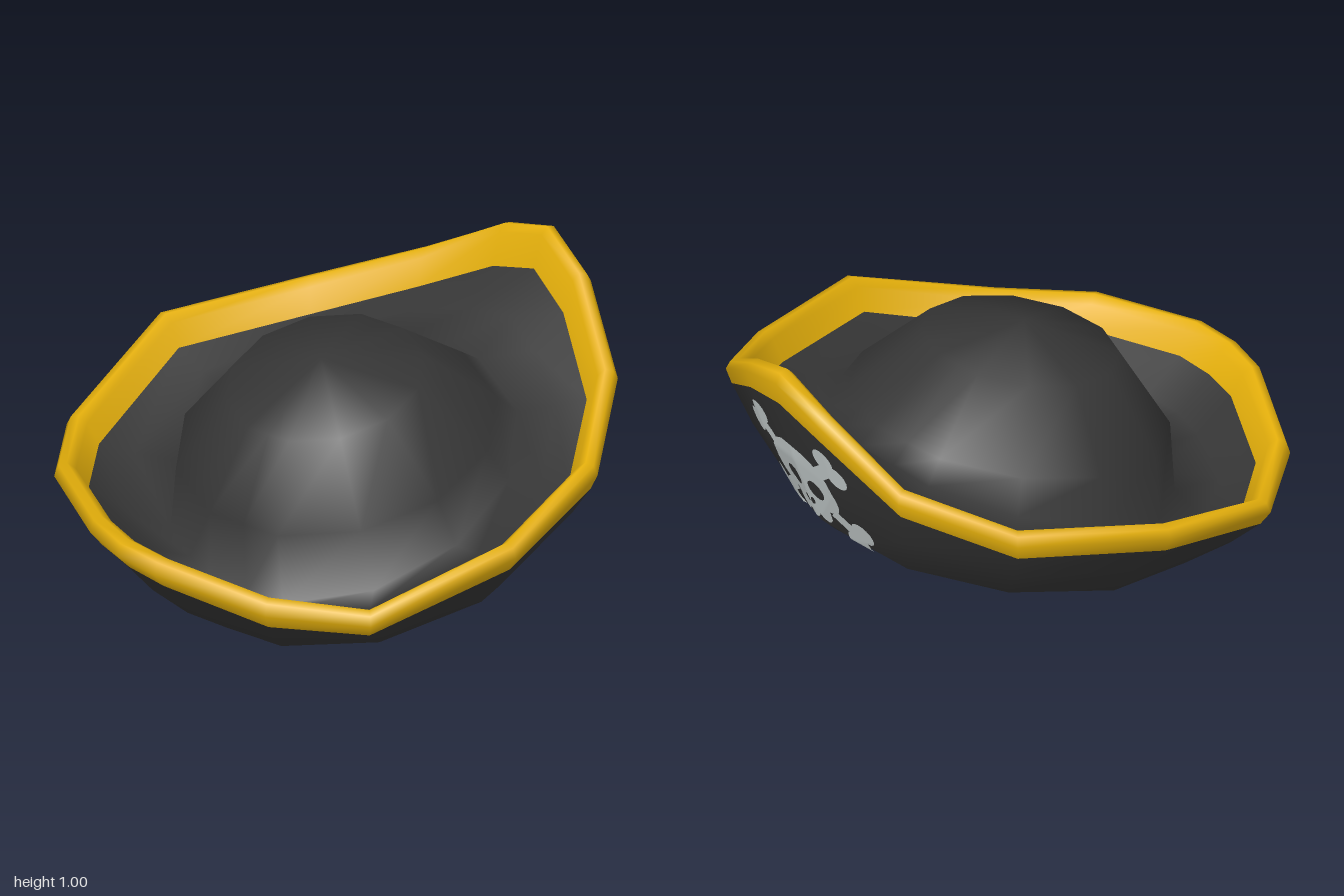
import * as THREE from 'three';
import { mergeVertices, mergeGeometries } from 'three/addons/utils/BufferGeometryUtils.js';

const felt = new THREE.MeshStandardMaterial({ color: 0x363636, side: THREE.DoubleSide });
felt.name = 'blackFelt';
const gold = new THREE.MeshStandardMaterial({ color: 0xe4af0b, side: THREE.DoubleSide });
gold.name = 'goldTrim';
const silver = new THREE.MeshStandardMaterial({ color: 0xd0d8d8, side: THREE.DoubleSide });
silver.name = 'silverPaint';

// Rim stations of one half, front to back: x, z, low y, outermost y, top y, inner y
const RIM = [
  [0, 0.968, 0.32, 0.385, 0.44, 0.335], [0.18, 0.945, 0.32, 0.385, 0.44, 0.335],
  [0.59, 0.78, 0.285, 0.35, 0.405, 0.305], [0.85, 0.52, 0.28, 0.335, 0.38, 0.28],
  [1, 0, 0.43, 0.49, 0.535, 0.43], [0.81, -0.51, 0.48, 0.54, 0.585, 0.475],
  [0.53, -0.82, 0.62, 0.68, 0.72, 0.6], [0.22, -0.945, 0.81, 0.88, 0.92, 0.775],
  [0, -0.97, 0.87, 0.95, 1, 0.85],
];
// Matching angles on the twelve-sided crown; 15 and 165 lie on its straight edges
const ANGLE = [0, 15, 30, 60, 90, 120, 150, 165, 180];
const COLUMNS = 16;

// A full ring of points from a rule for one half, mirrored in x
function ring(rule) {
  return Array.from({ length: COLUMNS }, (_, j) => {
    const p = rule(j <= 8 ? j : 16 - j);
    if (j > 8) p.x *= -1;
    return p;
  });
}

// Ring about the tilted crown axis: radius r, height h, rising by lift towards the back
function crownRing(r, h, lift = 0) {
  const s = 0.2, c = 0.98;
  return ring((k) => {
    const a = THREE.MathUtils.degToRad(ANGLE[k]);
    const rr = k === 1 || k === 7 ? r * Math.cos(Math.PI / 12) : r;
    const f = rr * Math.cos(a);
    const up = h - lift * Math.cos(a);
    return new THREE.Vector3(rr * Math.sin(a), 0.135 - f * s + up * c, -0.075 + f * c + up * s);
  });
}

// Ring along the rim: plan scale at the front and back, height column, height offset
const rimRing = (front, back, col, dy = 0) => ring((k) => {
  const scale = THREE.MathUtils.lerp(front, back, k / 8);
  return new THREE.Vector3(RIM[k][0] * scale, RIM[k][col] + dy, RIM[k][1] * scale);
});

// Ring part of the way from a to b, horizontally by t and vertically by u
const between = (a, b, t, u) => a.map((p, j) => new THREE.Vector3(
  THREE.MathUtils.lerp(p.x, b[j].x, t),
  THREE.MathUtils.lerp(p.y, b[j].y, u),
  THREE.MathUtils.lerp(p.z, b[j].z, t)));

// Smooth skin over a list of rings
function loft(name, rings, material) {
  const geo = new THREE.BufferGeometry().setFromPoints(rings.flat());
  const index = [];
  for (let i = 0; i < rings.length - 1; i++) {
    for (let j = 0; j < COLUMNS; j++) {
      const n = (j + 1) % COLUMNS;
      const a = i * COLUMNS + j, b = i * COLUMNS + n;
      index.push(a, b, b + COLUMNS, a, b + COLUMNS, a + COLUMNS);
    }
  }
  geo.setIndex(index);
  const merged = mergeVertices(geo, 1e-5);
  merged.computeVertexNormals();
  const mesh = new THREE.Mesh(merged, material);
  mesh.name = name;
  return mesh;
}

// Flat skull and crossed bones, centred on the origin
function emblemShapes() {
  const skull = new THREE.Shape();
  skull.moveTo(-0.09, -0.145);
  // scalloped teeth
  for (let i = 0; i < 3; i++) {
    const x = -0.09 + i * 0.06;
    skull.quadraticCurveTo(x + 0.03, -0.195, x + 0.06, -0.145);
  }
  skull.lineTo(0.1, -0.1);
  skull.bezierCurveTo(0.15, -0.1, 0.175, -0.06, 0.175, 0);
  skull.bezierCurveTo(0.175, 0.22, -0.175, 0.22, -0.175, 0);
  skull.bezierCurveTo(-0.175, -0.06, -0.15, -0.1, -0.1, -0.1);
  skull.closePath();
  for (const s of [-1, 1]) {
    const eye = new THREE.Path();
    eye.absellipse(s * 0.066, -0.015, 0.041, 0.041, 0, Math.PI * 2, true);
    const nostril = new THREE.Path();
    nostril.absellipse(s * 0.016, -0.09, 0.011, 0.018, 0, Math.PI * 2, true, -s * 0.4);
    skull.holes.push(eye, nostril);
  }
  const shapes = [skull];
  // four bone ends, each a shaft with two knobs
  for (const sx of [-1, 1]) {
    for (const sy of [-1, 1]) {
      const dir = new THREE.Vector2(sx * 0.215, sy * 0.165);
      const side = new THREE.Vector2(-dir.y, dir.x).normalize();
      const at = (t, w) => dir.clone().multiplyScalar(t).addScaledVector(side, w);
      shapes.push(new THREE.Shape([at(0.56, -0.028), at(1, -0.028), at(1, 0.028), at(0.56, 0.028)]));
      for (const w of [-0.038, 0.038]) {
        const c = at(1, w);
        shapes.push(new THREE.Shape().absarc(c.x, c.y, 0.048, 0, Math.PI * 2, false));
      }
    }
  }
  return shapes;
}

// Split each triangle into four so the paint can follow the brim
function subdivide(points) {
  const out = [];
  for (let i = 0; i < points.length; i += 3) {
    const [a, b, c] = points.slice(i, i + 3);
    const ab = a.clone().lerp(b, 0.5), bc = b.clone().lerp(c, 0.5), ca = c.clone().lerp(a, 0.5);
    out.push(a, ab, ca, ab, b, bc, ca, bc, c, ab, bc, ca);
  }
  return out;
}

// Lay the emblem on the back of the brim
function makeEmblem(surface) {
  const flat = mergeGeometries(emblemShapes().map((s) => new THREE.ShapeGeometry(s, 8))).toNonIndexed();
  const pos = flat.getAttribute('position');
  let points = Array.from({ length: pos.count }, (_, i) => new THREE.Vector3().fromBufferAttribute(pos, i));
  for (let i = 0; i < 3; i++) points = subdivide(points);
  const ray = new THREE.Raycaster();
  const forward = new THREE.Vector3(0, 0, 1);
  const laid = points.map((p) => {
    const start = new THREE.Vector3(-p.x, p.y + 0.52, -3);
    ray.set(start, forward);
    const hit = ray.intersectObject(surface)[0];
    const z = hit && hit.point.z < -0.4 ? hit.point.z : -0.75;
    return new THREE.Vector3(start.x, start.y, z - 0.008);
  });
  const geo = mergeVertices(new THREE.BufferGeometry().setFromPoints(laid), 1e-5);
  geo.computeVertexNormals();
  const mesh = new THREE.Mesh(geo, silver);
  mesh.name = 'skullAndBones';
  return mesh;
}

export function createModel() {
  const hat = new THREE.Group();
  hat.name = 'hat';

  const lip = crownRing(0.567, 0.01);
  const base = crownRing(0.66, 0);
  const low = rimRing(0.945, 0.99, 2);
  const inner = rimRing(0.872, 0.895, 5);
  const foot = crownRing(0.628, 0.22, 0.1);

  // Outside of the upturned brim, turning in to the head opening
  const underBrim = loft('brimOutside',
    [lip, base, between(base, low, 0.25, 0.1), between(base, low, 0.7, 0.58), low], felt);
  underBrim.updateMatrixWorld();

  // Rounded gold edge
  const trim = loft('goldRim',
    [low, rimRing(1, 1, 3), rimRing(0.985, 0.985, 4, -0.01), rimRing(0.955, 0.955, 4),
      rimRing(0.92, 0.93, 4, -0.025), inner], gold);

  // Inside of the brim running into the domed crown
  const crown = loft('crownAndBrimInside',
    [inner, between(foot, inner, 0.55, 0.45), foot,
      crownRing(0.568, 0.39), crownRing(0.35, 0.637), crownRing(0, 0.722)], felt);

  // Hollow for the head
  const lining = loft('lining',
    [crownRing(0, 0.69), crownRing(0.33, 0.61), crownRing(0.53, 0.37), crownRing(0.575, 0.2), lip], felt);

  hat.add(underBrim, trim, crown, lining, makeEmblem(underBrim));
  return hat;
}
